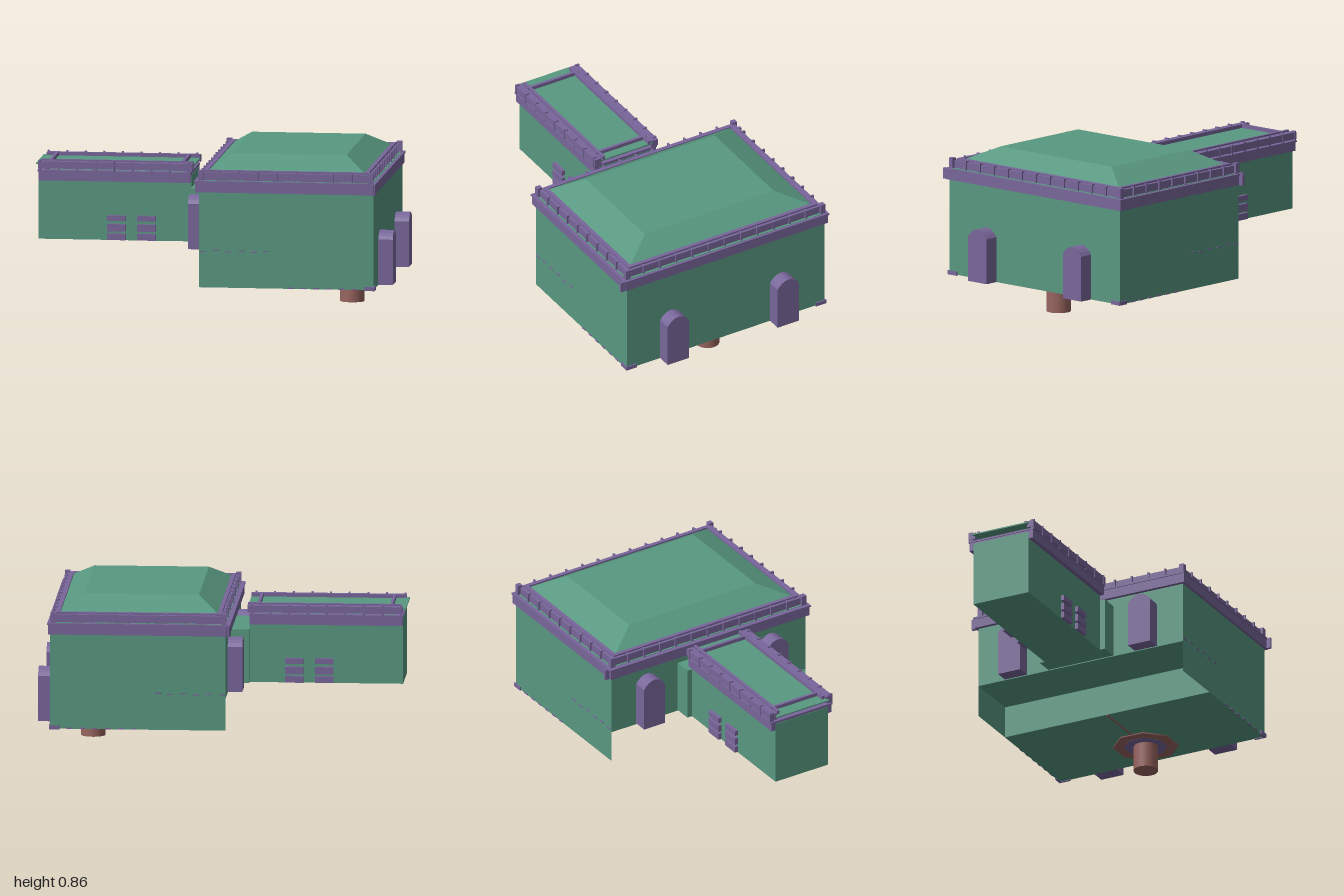
import * as THREE from 'three';

const GREEN = new THREE.MeshStandardMaterial({ color: 0x589880, flatShading: true, side: THREE.DoubleSide });
const PURPLE = new THREE.MeshStandardMaterial({ color: 0x78669a, flatShading: true });
const BROWN = new THREE.MeshStandardMaterial({ color: 0x98645f });

function add(parent, name, geometry, material) {
  const mesh = new THREE.Mesh(geometry, material);
  mesh.name = name;
  parent.add(mesh);
  return mesh;
}

// Box given by its extents
function box(parent, name, material, x0, x1, y0, y1, z0, z1) {
  const m = add(parent, name, new THREE.BoxGeometry(x1 - x0, y1 - y0, z1 - z0), material);
  m.position.set((x0 + x1) / 2, (y0 + y1) / 2, (z0 + z1) / 2);
  return m;
}

// Rectangular ring of four bars, symmetric in z
function frame(parent, name, x0, x1, z, y0, y1, t) {
  const g = new THREE.Group();
  g.name = name;
  for (const s of [-1, 1]) {
    const [a, b] = s > 0 ? [z - t, z] : [-z, -z + t];
    box(g, name + 'Side', PURPLE, x0, x1, y0, y1, a, b);
  }
  box(g, name + 'End', PURPLE, x0, x0 + t, y0, y1, -z + t, z - t);
  box(g, name + 'End', PURPLE, x1 - t, x1, y0, y1, -z + t, z - t);
  parent.add(g);
}

// Small ribs spaced around a rectangular band
function ribs(parent, x0, x1, z, y0, y1, step) {
  const nx = Math.round((x1 - x0) / step), nz = Math.round(2 * z / step), w = 0.005;
  for (let i = 0; i <= nx; i++) {
    const x = x0 + (x1 - x0) * i / nx;
    for (const s of [-z, z]) box(parent, 'corniceRib', PURPLE, x - w, x + w, y0, y1, s - 0.01, s + 0.01);
  }
  for (let i = 1; i < nz; i++) {
    const c = -z + 2 * z * i / nz;
    for (const x of [x0, x1]) box(parent, 'corniceRib', PURPLE, x - 0.01, x + 0.01, y0, y1, c - w, c + w);
  }
}

// Arched door block, projecting along x
function door(parent, x0, x1, y, z) {
  const w = 0.068, s = new THREE.Shape();
  s.moveTo(-w, 0);
  s.lineTo(w, 0);
  s.lineTo(w, 0.25);
  s.quadraticCurveTo(w * 0.6, 0.292, 0, 0.295);
  s.quadraticCurveTo(-w * 0.6, 0.292, -w, 0.25);
  s.closePath();
  const geo = new THREE.ExtrudeGeometry(s, { depth: x1 - x0, bevelEnabled: false, curveSegments: 4 });
  geo.rotateY(Math.PI / 2);
  add(parent, 'door', geo, PURPLE).position.set(x0, y, z);
}

// Hipped roof: sloping sides and a flat top
function hippedRoof(b, t) {
  const p = [];
  for (const [x0, x1, z, y] of [b, t]) p.push([x0, y, z], [x1, y, z], [x1, y, -z], [x0, y, -z]);
  const idx = [4, 5, 6, 4, 6, 7];
  for (let i = 0; i < 4; i++) {
    const j = (i + 1) % 4;
    idx.push(i, j, j + 4, i, j + 4, i + 4);
  }
  const g = new THREE.BufferGeometry();
  g.setAttribute('position', new THREE.Float32BufferAttribute(p.flat(), 3));
  g.setIndex(idx);
  const flat = g.toNonIndexed();
  flat.computeVertexNormals();
  return flat;
}

function createHall() {
  const hall = new THREE.Group();
  hall.name = 'hall';

  // Body with a stepped floor
  const s = new THREE.Shape();
  [[-0.04, 0.33], [0.27, 0.33], [0.27, 0.15], [0.92, 0.15], [0.92, 0.74], [-0.04, 0.74]]
    .forEach(([x, y], i) => (i ? s.lineTo(x, y) : s.moveTo(x, y)));
  const body = new THREE.ExtrudeGeometry(s, { depth: 1.26, bevelEnabled: false });
  add(hall, 'hallBody', body.translate(0, 0, -0.63), GREEN);

  for (const side of [-1, 1]) {
    // Side walls continue down past the raised floor
    const skirt = add(hall, 'wallSkirt', new THREE.PlaneGeometry(0.31, 0.18), GREEN);
    skirt.position.set(0.115, 0.24, side * 0.63);
    if (side < 0) skirt.rotation.y = Math.PI;

    door(hall, 0.92, 1.0, 0.15, side * 0.35);
    door(hall, -0.12, -0.04, 0.335, side * 0.4);

    // Corner feet and broken base trim
    const z = side * 0.63;
    box(hall, 'cornerFoot', PURPLE, 0.87, 0.927, 0.146, 0.168, z - 0.006, z + 0.006);
    box(hall, 'cornerFoot', PURPLE, 0.915, 0.927, 0.146, 0.168, side > 0 ? 0.57 : -0.63, side > 0 ? 0.63 : -0.57);
    for (let i = 0; i < 6; i++) {
      box(hall, 'baseTrim', PURPLE, 0.45 + i * 0.07, 0.48 + i * 0.07, 0.15, 0.157, z - 0.004, z + 0.004);
      const x = -0.035 + i * 0.07, y = 0.345 + (i % 2) * 0.006;
      box(hall, 'upperTrim', PURPLE, x, x + 0.035, y, y + 0.006, z - 0.004, z + 0.004);
    }
  }

  // Cornice in two tiers with ribs, posts and an inner rail
  frame(hall, 'lowerCornice', -0.06, 0.93, 0.645, 0.675, 0.735, 0.05);
  frame(hall, 'corniceLip', -0.065, 0.935, 0.65, 0.728, 0.738, 0.05);
  frame(hall, 'upperCornice', -0.03, 0.905, 0.62, 0.738, 0.782, 0.05);
  ribs(hall, -0.03, 0.905, 0.62, 0.738, 0.79, 0.1);
  frame(hall, 'roofRail', -0.015, 0.89, 0.6, 0.782, 0.792, 0.022);
  for (const x of [-0.03, 0.905]) for (const z of [-0.62, 0.62]) {
    box(hall, 'cornerPost', PURPLE, x - 0.014, x + 0.014, 0.735, 0.795, z - 0.014, z + 0.014);
  }
  for (const [x, z] of [[-0.037, -0.655], [0.918, 0.655]]) {
    box(hall, 'corniceSpur', PURPLE, x - 0.008, x + 0.008, 0.675, 0.735, z - 0.015, z + 0.015);
  }

  add(hall, 'hallRoof', hippedRoof([0, 0.87, 0.58, 0.782], [0.12, 0.745, 0.41, 0.862]), GREEN);

  // Underside: round post, octagonal surround and floor seam
  add(hall, 'supportPost', new THREE.CylinderGeometry(0.067, 0.067, 0.152, 32), BROWN).position.set(0.725, 0.076, 0);
  const ring = new THREE.CylinderGeometry(0.18, 0.18, 0.008, 8).rotateY(Math.PI / 8);
  add(hall, 'postSurround', ring, BROWN).position.set(0.725, 0.148, 0);
  const inner = new THREE.CylinderGeometry(0.12, 0.12, 0.008, 8).rotateY(Math.PI / 8);
  add(hall, 'postCollar', inner, PURPLE).position.set(0.725, 0.147, 0);
  box(hall, 'floorSeam', BROWN, 0.27, 0.56, 0.147, 0.151, -0.006, 0.006);
  return hall;
}

function createWing() {
  const wing = new THREE.Group();
  wing.name = 'wing';
  box(wing, 'wingBody', GREEN, -0.98, -0.14, 0.335, 0.7, -0.17, 0.17);
  box(wing, 'connector', GREEN, -0.14, -0.04, 0.335, 0.632, -0.2, 0.2);

  // Lower cornice along the wing
  frame(wing, 'wingCornice', -0.978, -0.142, 0.195, 0.66, 0.712, 0.04);
  frame(wing, 'wingCorniceLip', -0.982, -0.14, 0.2, 0.708, 0.718, 0.04);

  // Thin roof sheet carried above the cornice, with rails
  box(wing, 'wingRoof', GREEN, -0.995, -0.13, 0.745, 0.752, -0.17, 0.17);
  for (const s of [-1, 1]) {
    box(wing, 'wingParapet', PURPLE, -0.978, -0.13, 0.727, 0.765, s * 0.18 - 0.02, s * 0.18 + 0.02);
    box(wing, 'wingRail', PURPLE, -0.97, -0.13, 0.752, 0.772, s * 0.145 - 0.008, s * 0.145 + 0.008);
  }
  for (const x of [-0.915, -0.19]) box(wing, 'wingCrossRail', PURPLE, x - 0.008, x + 0.008, 0.752, 0.772, -0.16, 0.16);
  for (let i = 0; i <= 8; i++) {
    const x = -0.97 + i * 0.102;
    for (const z of [-0.19, 0.19]) box(wing, 'parapetRib', PURPLE, x - 0.005, x + 0.005, 0.712, 0.772, z - 0.012, z + 0.012);
  }

  // Louvred windows on both sides
  for (const s of [-1, 1]) for (const x of [-0.55, -0.385]) {
    for (const [y, h] of [[0.355, 0.036], [0.405, 0.04], [0.457, 0.03]]) {
      box(wing, 'windowLouvre', PURPLE, x - 0.05, x + 0.05, y - h / 2, y + h / 2, s * 0.175 - 0.014, s * 0.175 + 0.014);
    }
  }
  return wing;
}

export function createModel() {
  const model = new THREE.Group();
  model.name = 'building';
  model.add(createHall(), createWing());
  return model;
}
